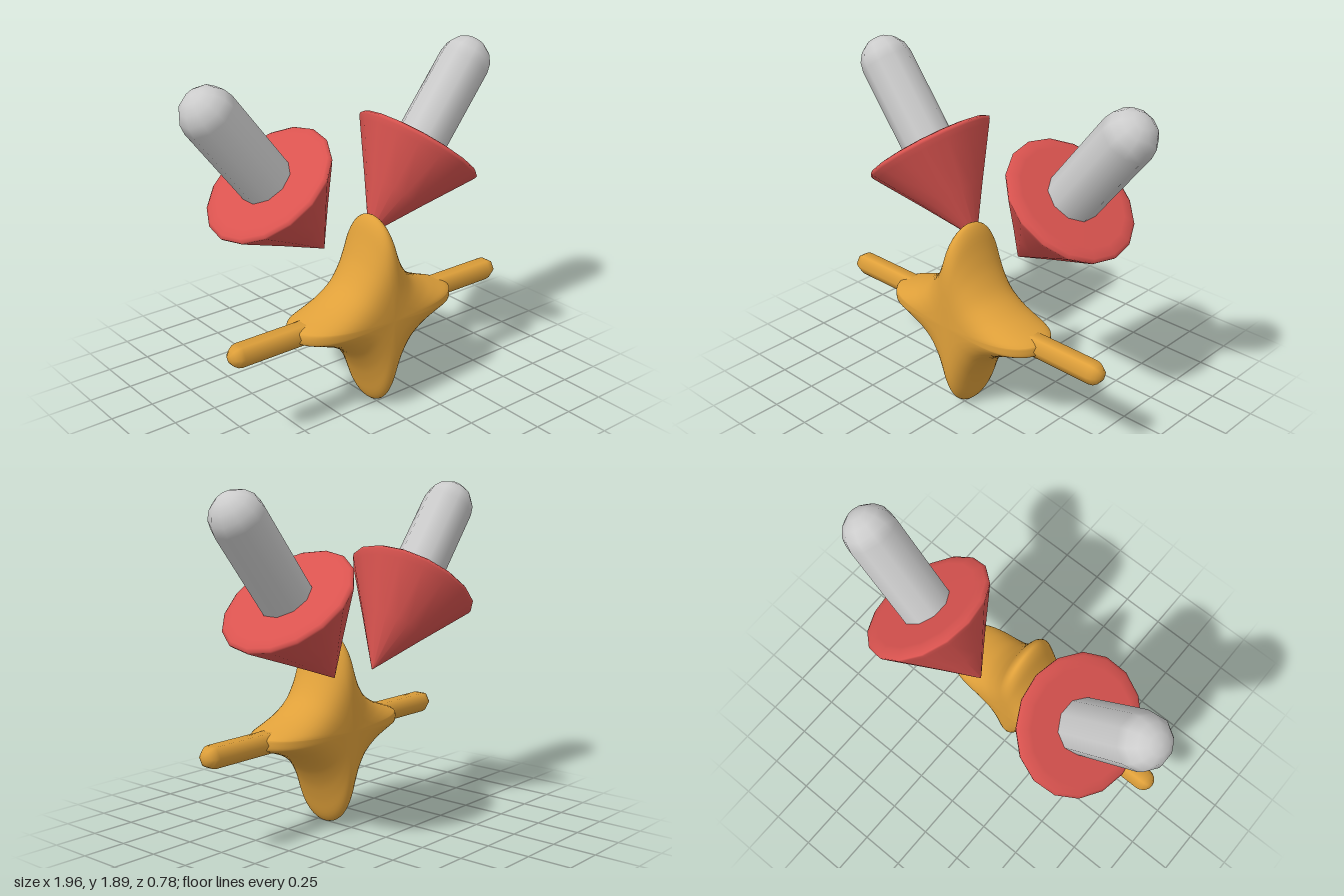
import * as THREE from 'three';

const gold = new THREE.MeshStandardMaterial({ color: 0xdfa03a });
const red = new THREE.MeshStandardMaterial({ color: 0xd9534f });
const grey = new THREE.MeshStandardMaterial({ color: 0xcccccc });

function mesh(name, geometry, material) {
  const m = new THREE.Mesh(geometry, material);
  m.name = name;
  return m;
}

// Closed four-pointed star outline, mirrored from one quadrant
function starOutline(count) {
  const quadrant = [[0.525, 0.025], [0.49, 0.045], [0.4, 0.078], [0.3, 0.122], [0.2, 0.193],
    [0.127, 0.295], [0.08, 0.4], [0.04, 0.508]];
  const back = [...quadrant].reverse();
  const points = [
    ...quadrant, [0, 0.55],
    ...back.map(([x, y]) => [-x, y]),
    ...quadrant.map(([x, y]) => [-x, -y]), [0, -0.55],
    ...back.map(([x, y]) => [x, -y]),
  ].map(([x, y]) => new THREE.Vector2(x, y));
  const curve = new THREE.SplineCurve([...points, points[0]]);
  return curve.getPoints(count).slice(0, count);
}

// Pillow-like star: the outline shrinks toward the front and back poles
function starGeometry(count = 136, rings = 24, depth = 0.203) {
  const outline = starOutline(count);
  const pos = [0, 0, depth];
  const index = [];
  for (let j = 1; j < rings; j++) {
    const a = (Math.PI * j) / rings;
    const s = Math.sqrt(Math.sin(a));
    const z = depth * Math.cos(a);
    for (const p of outline) pos.push(p.x * s, p.y * s, z);
  }
  pos.push(0, 0, -depth);
  const last = pos.length / 3 - 1;
  const id = (j, i) => 1 + j * count + (i % count);
  for (let i = 0; i < count; i++) {
    index.push(0, id(0, i), id(0, i + 1));
    for (let j = 0; j < rings - 2; j++) {
      index.push(id(j, i), id(j + 1, i), id(j + 1, i + 1));
      index.push(id(j, i), id(j + 1, i + 1), id(j, i + 1));
    }
    index.push(last, id(rings - 2, i + 1), id(rings - 2, i));
  }
  const g = new THREE.BufferGeometry();
  g.setAttribute('position', new THREE.Float32BufferAttribute(pos, 3));
  g.setIndex(index);
  g.computeVertexNormals();
  return g;
}

// Arrow along +y with its head's rim at the origin
function arrow(side) {
  const g = new THREE.Group();
  g.name = side > 0 ? 'leftArrow' : 'rightArrow';
  const profile = [[0, -0.575], [0.02, -0.545], [0.18, -0.297], [0.35, -0.04], [0.368, -0.012],
    [0.372, 0.002], [0.355, 0.014], [0.32, 0.021], [0.3, 0.022], [0, 0.022]]
    .map(([x, y]) => new THREE.Vector2(x, y));
  g.add(mesh('arrowHead', new THREE.LatheGeometry(profile, 16), red));
  const shaft = mesh('arrowShaft', new THREE.CapsuleGeometry(0.147, 0.535, 4, 10), grey);
  shaft.geometry.rotateY(Math.PI / 2);
  shaft.position.y = 0.2675;
  g.add(shaft);
  g.position.set(side * 0.51, 1.34, -0.017);
  g.rotation.z = -side * 0.665;
  return g;
}

export function createModel() {
  const model = new THREE.Group();
  model.name = 'starWithArrows';

  const star = mesh('starBody', starGeometry(), gold);
  star.position.set(0, 0.56, 0.19);
  model.add(star);

  for (const side of [1, -1]) {
    // Six-sided side rod
    const rodGeometry = new THREE.CapsuleGeometry(0.065, 0.4, 4, 6)
      .rotateY(Math.PI / 2).rotateZ(-side * Math.PI / 2);
    const rod = mesh(side > 0 ? 'leftRod' : 'rightRod', rodGeometry, gold);
    rod.position.set(side * 0.655, 0.56, 0.19);
    model.add(rod, arrow(side));
  }
  return model;
}
